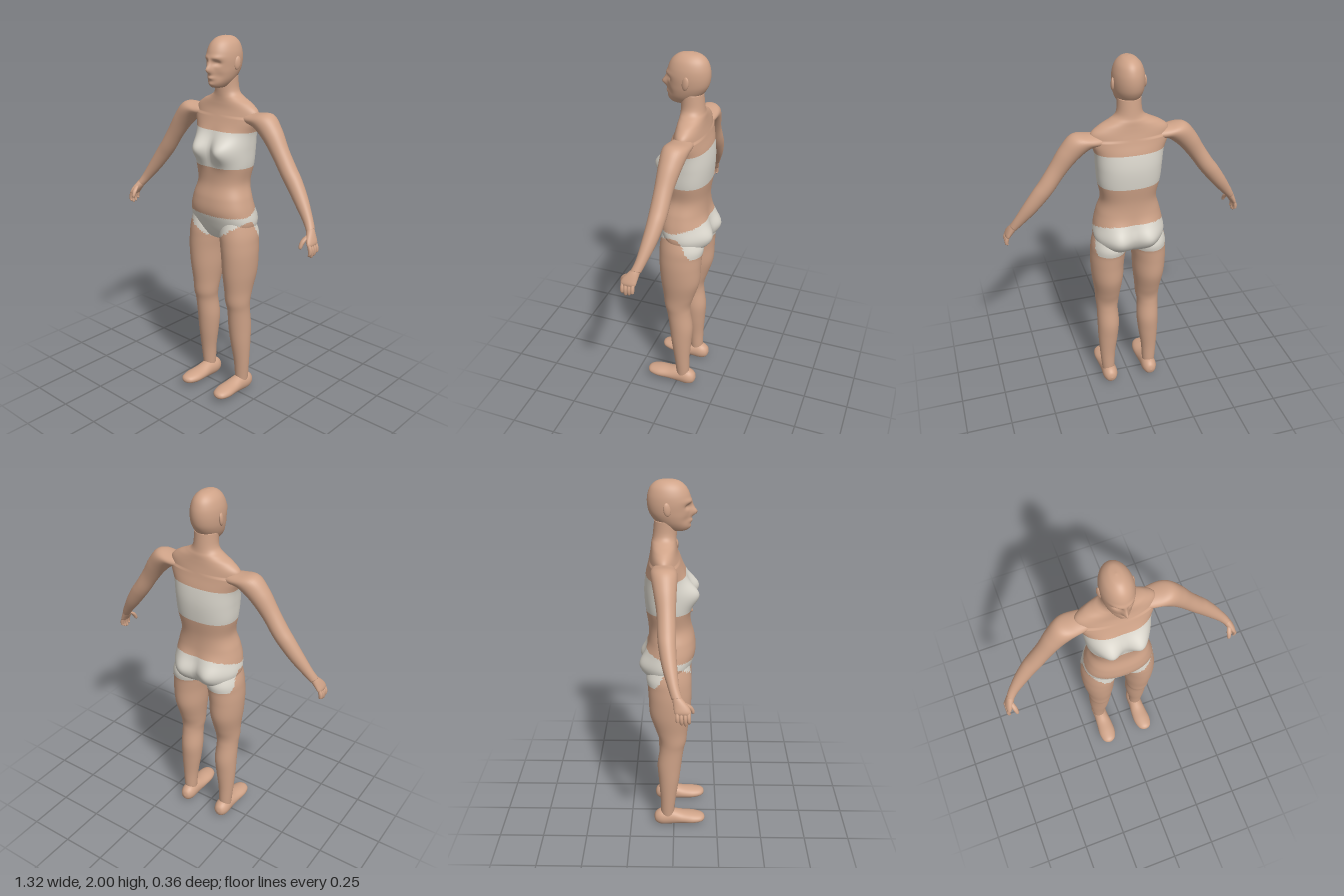
import * as THREE from 'three';

const skin = new THREE.MeshStandardMaterial({ color: 0xcfa388 });
skin.name = 'skin';
const cloth = new THREE.MeshStandardMaterial({ color: 0xdbd7cd });
cloth.name = 'offWhiteCloth';

// Smooth in-between rows through the given cross-section rows
function refine(rows, steps) {
  const at = (i) => rows[Math.max(0, Math.min(rows.length - 1, i))];
  const out = [];
  for (let i = 0; i < rows.length - 1; i++) {
    for (let k = 0; k < steps; k++) {
      const t = k / steps;
      out.push(at(i).map((p1, j) => {
        const p0 = at(i - 1)[j], p2 = at(i + 1)[j], p3 = at(i + 2)[j];
        return 0.5 * (2 * p1 + (p2 - p0) * t + (2 * p0 - 5 * p1 + 4 * p2 - p3) * t * t
          + (3 * p1 - p0 - 3 * p2 + p3) * t * t * t);
      }));
    }
  }
  out.push(rows[rows.length - 1]);
  return out;
}

// Skins rings of points; isCloth decides the colour of each face
function loft(name, rows, place, { segs = 48, steps = 7, isCloth = null } = {}) {
  const rings = refine(rows, steps), pos = [], faces = [[], []];
  for (const row of rings) {
    for (let i = 0; i < segs; i++) {
      const a = (i / segs) * Math.PI * 2;
      pos.push(...place(row, Math.cos(a), Math.sin(a)));
    }
  }
  const v = (i) => new THREE.Vector3(pos[i * 3], pos[i * 3 + 1], pos[i * 3 + 2]);
  const tris = [];
  for (let r = 0; r < rings.length - 1; r++) {
    for (let i = 0; i < segs; i++) {
      const a = r * segs + i, b = r * segs + (i + 1) % segs;
      tris.push([a, b, a + segs], [b, b + segs, a + segs]);
    }
  }
  const last = (rings.length - 1) * segs;
  for (let i = 1; i < segs - 1; i++) tris.push([0, i + 1, i], [last, last + i, last + i + 1]);
  let volume = 0;
  for (const [a, b, c] of tris) volume += v(a).dot(v(b).cross(v(c)));
  for (const [a, b, c] of tris) {
    const mid = v(a).add(v(b)).add(v(c)).divideScalar(3);
    faces[isCloth && isCloth(mid) ? 1 : 0].push(...(volume > 0 ? [a, b, c] : [a, c, b]));
  }
  const geo = new THREE.BufferGeometry();
  geo.setAttribute('position', new THREE.Float32BufferAttribute(pos, 3));
  geo.setIndex([...faces[0], ...faces[1]]);
  geo.addGroup(0, faces[0].length, 0);
  geo.addGroup(faces[0].length, faces[1].length, 1);
  geo.computeVertexNormals();
  const mesh = new THREE.Mesh(geo, isCloth ? [skin, cloth] : skin);
  mesh.name = name;
  return mesh;
}

const bump = (x, y, cx, cy, sx, sy) => Math.exp(-(((x - cx) / sx) ** 2) - ((y - cy) / sy) ** 2);
const rounded = (c, n) => Math.sign(c) * Math.abs(c) ** (2 / n);

// Briefs: below a waistline that rises at the back, above the leg openings
function inBriefs({ x, y, z }) {
  const waist = 1.08 + 0.3 * Math.max(0, -z);
  const front = 0.915 + 0.72 * Math.abs(x);
  const leg = THREE.MathUtils.lerp(front, 0.935, THREE.MathUtils.smoothstep(-z, 0.02, 0.11));
  return y < waist && y > leg;
}
const inBandeau = ({ y }) => y > 1.34 && y < 1.53;

// Neck and torso rows: y, half width, back z, front z
const torsoRows = [
  [1.80, 0.060, -0.100, 0.015], [1.74, 0.063, -0.106, 0.013], [1.71, 0.076, -0.110, 0.012],
  [1.69, 0.108, -0.115, 0.012], [1.665, 0.160, -0.118, 0.014], [1.63, 0.200, -0.123, 0.020],
  [1.58, 0.200, -0.133, 0.038], [1.52, 0.180, -0.147, 0.060], [1.44, 0.172, -0.155, 0.080],
  [1.35, 0.165, -0.150, 0.086], [1.25, 0.147, -0.136, 0.088], [1.17, 0.168, -0.135, 0.108],
  [1.10, 0.185, -0.140, 0.114], [1.03, 0.193, -0.145, 0.095], [0.97, 0.165, -0.125, 0.070],
  [0.935, 0.090, -0.080, 0.040], [0.925, 0.010, -0.025, -0.015],
];
function placeTorso([y, w, zb, zf], c, s) {
  const n = y > 1.6 ? 2 : 2.35;
  const x = w * rounded(c, n);
  let z = (zb + zf) / 2 + (zf - zb) / 2 * rounded(s, n);
  const f = Math.abs(s) ** 0.5;
  if (s > 0) z += f * 0.058 * bump(Math.abs(x), y, 0.082, 1.43, 0.062, 0.065);
  else z -= f * 0.048 * bump(Math.abs(x), y, 0.088, 1.03, 0.075, 0.085);
  return [x, y, z];
}

// Head rows: y, half width, back z, front z, with the face pushed in and out
const headRows = [
  [2.0, 0.003, -0.035, -0.029], [1.992, 0.033, -0.083, 0.020], [1.967, 0.059, -0.115, 0.055],
  [1.93, 0.074, -0.131, 0.076], [1.89, 0.079, -0.135, 0.083], [1.85, 0.077, -0.129, 0.080],
  [1.82, 0.072, -0.115, 0.081], [1.79, 0.062, -0.092, 0.081], [1.765, 0.047, -0.070, 0.076],
  [1.748, 0.030, -0.040, 0.060], [1.742, 0.004, 0.015, 0.025],
];
function placeHead([y, w, zb, zf], c, s) {
  const x = w * c;
  let z = (zb + zf) / 2 + (zf - zb) / 2 * s;
  if (s > 0) {
    const ax = Math.abs(x);
    z += 0.030 * bump(x, y, 0, 1.838, 0.013, 0.020) + 0.014 * bump(x, y, 0, 1.865, 0.011, 0.025)
      - 0.015 * bump(ax, y, 0.032, 1.872, 0.018, 0.013) + 0.007 * bump(ax, y, 0.03, 1.898, 0.03, 0.012)
      + 0.009 * bump(x, y, 0, 1.798, 0.020, 0.010) - 0.007 * bump(ax, y, 0.042, 1.805, 0.02, 0.025)
      + 0.006 * bump(x, y, 0, 1.765, 0.018, 0.012);
  }
  return [x, y, z];
}

// Leg rows: y, inner x, outer x, back z, front z
const legRows = [
  [1.06, 0.030, 0.180, -0.110, 0.080], [0.98, 0.012, 0.202, -0.145, 0.093],
  [0.92, 0.018, 0.208, -0.140, 0.095], [0.85, 0.027, 0.210, -0.136, 0.094],
  [0.75, 0.033, 0.204, -0.130, 0.088], [0.65, 0.045, 0.190, -0.100, 0.075],
  [0.58, 0.052, 0.185, -0.079, 0.068], [0.52, 0.060, 0.180, -0.079, 0.054],
  [0.42, 0.056, 0.180, -0.092, 0.042], [0.32, 0.065, 0.178, -0.086, 0.030],
  [0.20, 0.082, 0.171, -0.077, 0.012], [0.10, 0.088, 0.163, -0.075, 0.002],
  [0.05, 0.092, 0.158, -0.070, 0.000],
];
// Foot rows: z, centre x, half width, bottom y, top y
const footRows = [
  [-0.115, 0.122, 0.003, 0.047, 0.053], [-0.104, 0.122, 0.028, 0.018, 0.082],
  [-0.07, 0.122, 0.043, 0.003, 0.102], [-0.01, 0.121, 0.043, 0.005, 0.102],
  [0.05, 0.120, 0.048, 0.014, 0.088], [0.11, 0.122, 0.051, 0.018, 0.082],
  [0.155, 0.124, 0.040, 0.026, 0.074], [0.174, 0.125, 0.022, 0.036, 0.064],
  [0.18, 0.125, 0.003, 0.048, 0.052],
];
// Arm rows: x, y, z, radius across, radius in z
const armRows = [
  [0.10, 1.60, -0.050, 0.030, 0.040], [0.17, 1.60, -0.050, 0.050, 0.058],
  [0.245, 1.595, -0.046, 0.060, 0.065], [0.31, 1.535, -0.040, 0.054, 0.056],
  [0.37, 1.45, -0.033, 0.046, 0.046], [0.425, 1.368, -0.030, 0.044, 0.045],
  [0.465, 1.315, -0.026, 0.043, 0.042], [0.52, 1.24, -0.014, 0.037, 0.036],
  [0.575, 1.165, 0.005, 0.027, 0.027], [0.607, 1.12, 0.022, 0.021, 0.026],
];
const palmRows = [
  [0.597, 1.135, 0.016, 0.018, 0.020], [0.612, 1.112, 0.030, 0.020, 0.029],
  [0.628, 1.085, 0.044, 0.018, 0.038], [0.640, 1.062, 0.050, 0.014, 0.038],
  [0.645, 1.050, 0.052, 0.003, 0.020],
];
const thumbRows = [
  [0.615, 1.105, 0.055, 0.010, 0.010], [0.608, 1.085, 0.078, 0.013, 0.013],
  [0.604, 1.063, 0.092, 0.011, 0.011], [0.603, 1.048, 0.097, 0.008, 0.008],
  [0.603, 1.042, 0.098, 0.001, 0.001],
];

export function createModel() {
  const body = new THREE.Group();
  body.name = 'woman';
  body.add(loft('torso', torsoRows, placeTorso,
    { segs: 96, steps: 9, isCloth: (p) => inBandeau(p) || inBriefs(p) }));
  body.add(loft('head', headRows, placeHead, { segs: 80, steps: 8 }));

  for (const side of [1, -1]) {
    const label = side > 0 ? 'left' : 'right';
    const limb = ([x, y, z, a, b], c, s) =>
      [side * (x + 0.78 * a * c), y + 0.62 * a * c, z + b * s];
    const digit = ([x, y, z, a, b], c, s) => [side * (x + a * c), y, z + b * s];

    // Leg and foot
    body.add(loft(label + 'Leg', legRows, ([y, xi, xo, zb, zf], c, s) =>
      [side * ((xi + xo) / 2 + (xo - xi) / 2 * c), y, (zb + zf) / 2 + (zf - zb) / 2 * s],
    { isCloth: inBriefs }));
    body.add(loft(label + 'Foot', footRows, ([z, x, w, yb, yt], c, s) =>
      [side * (x + w * c), (yb + yt) / 2 + (yt - yb) / 2 * s, z], { segs: 32 }));

    // Arm and hand
    body.add(loft(label + 'Arm', armRows, limb, { segs: 36 }));
    const hand = new THREE.Group();
    hand.name = label + 'Hand';
    hand.add(loft('palm', palmRows, limb, { segs: 24, steps: 5 }));
    hand.add(loft('thumb', thumbRows, digit, { segs: 14, steps: 4 }));
    [0.024, 0.042, 0.060, 0.077].forEach((z, i) => {
      const tip = [1.014, 1.002, 0.998, 1.008][i];
      hand.add(loft('finger', [
        [0.634, 1.075, z, 0.009, 0.009], [0.645, 1.048, z, 0.011, 0.010],
        [0.648, 1.025, z + 0.001, 0.009, 0.009], [0.644, tip + 0.006, z + 0.002, 0.007, 0.007],
        [0.642, tip, z + 0.002, 0.001, 0.001],
      ], digit, { segs: 14, steps: 4 }));
    });
    body.add(hand);

    // Ear
    const ear = new THREE.Mesh(new THREE.SphereGeometry(1, 20, 14), skin);
    ear.name = label + 'Ear';
    ear.scale.set(0.010, 0.034, 0.019);
    ear.position.set(side * 0.079, 1.868, -0.034);
    ear.rotation.set(-0.15, side * -0.3, 0);
    body.add(ear);
  }
  return body;
}
